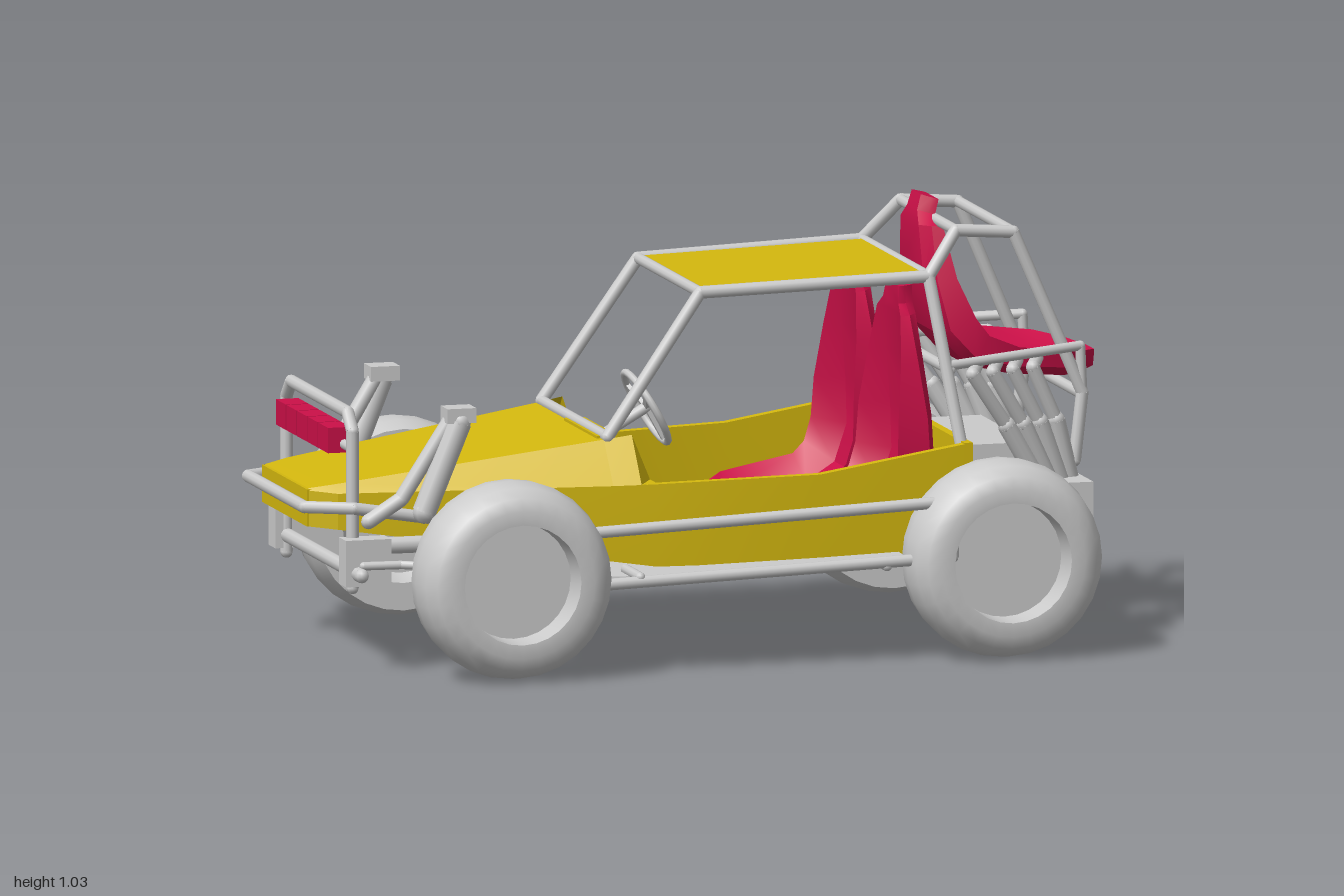
import * as THREE from 'three';
import { mergeGeometries, toCreasedNormals } from 'three/addons/utils/BufferGeometryUtils.js';

const material = (color) => new THREE.MeshStandardMaterial({ color, side: THREE.DoubleSide });

export function createModel() {
  const model = new THREE.Group();
  const grey = material(0xcccccc), yellow = material(0xd4b80e), red = material(0xcc1048);

  const add = (name, geometry, mat) => {
    const mesh = new THREE.Mesh(geometry, mat);
    mesh.name = name;
    model.add(mesh);
    return mesh;
  };
  const box = (name, x0, x1, y0, y1, z0, z1, mat) => {
    const mesh = add(name, new THREE.BoxGeometry(x1 - x0, y1 - y0, z1 - z0), mat);
    mesh.position.set((x0 + x1) / 2, (y0 + y1) / 2, (z0 + z1) / 2);
    return mesh;
  };
  // Straight pipes between points, with a ball at each joint
  const pipe = (name, points, r, mat = grey) => {
    const parts = [];
    const pts = points.map((p) => new THREE.Vector3(...p));
    pts.forEach((p, i) => {
      parts.push(new THREE.SphereGeometry(r, 10, 6).translate(p.x, p.y, p.z));
      if (i === 0) return;
      const dir = p.clone().sub(pts[i - 1]);
      const mid = p.clone().add(pts[i - 1]).multiplyScalar(0.5);
      const q = new THREE.Quaternion().setFromUnitVectors(new THREE.Vector3(0, 1, 0), dir.clone().normalize());
      parts.push(new THREE.CylinderGeometry(r, r, dir.length(), 10).applyQuaternion(q).translate(mid.x, mid.y, mid.z));
    });
    return add(name, mergeGeometries(parts), mat);
  };
  // Skin through equal-length cross-sections
  const loft = (sections, closed = false, crease = 0.3) => {
    const n = sections[0].length, pos = [];
    const tri = (...ps) => ps.forEach((p) => pos.push(...p));
    for (let i = 0; i + 1 < sections.length; i++) {
      const a = sections[i], b = sections[i + 1];
      for (let j = 0; j < (closed ? n : n - 1); j++) {
        const k = (j + 1) % n;
        tri(a[j], b[j], b[k]);
        tri(a[j], b[k], a[k]);
      }
    }
    if (closed) {
      const first = sections[0], last = sections[sections.length - 1];
      for (let j = 1; j + 1 < n; j++) {
        tri(first[0], first[j], first[j + 1]);
        tri(last[0], last[j + 1], last[j]);
      }
    }
    const g = new THREE.BufferGeometry();
    g.setAttribute('position', new THREE.Float32BufferAttribute(pos, 3));
    g.computeVertexNormals();
    return toCreasedNormals(g, crease);
  };

  // Wheels: tyre with a recessed rim
  const tyre = [[0, 0.03], [0.13, 0.03], [0.15, 0], [0.215, 0], [0.231, 0.04], [0.235, 0.09], [0.226, 0.145],
    [0.205, 0.172], [0.175, 0.185], [0.142, 0.183], [0.138, 0.105], [0, 0.105]];
  const wheelGeo = toCreasedNormals(new THREE.LatheGeometry(tyre.map((p) => new THREE.Vector2(...p)), 28), 0.6);
  for (const x of [-0.556, 0.637]) for (const s of [1, -1]) {
    const wheel = add(x < 0 ? 'frontWheel' : 'rearWheel', wheelGeo, grey);
    wheel.rotation.x = s * Math.PI / 2;
    wheel.position.set(x, 0.24, s * 0.415);
  }

  // Floor plate, rising slightly to the rear
  const half = [[-0.44, 0.4], [-0.16, 0.505], [0.41, 0.505], [0.41, 0.41], [0.6, 0.41]];
  const outline = [...half, ...half.map(([x, z]) => [x, -z]).reverse()].map((p) => new THREE.Vector2(...p));
  const floor = add('floorPlate', new THREE.ExtrudeGeometry(new THREE.Shape(outline), { depth: 0.015, bevelEnabled: false })
    .rotateX(-Math.PI / 2), grey);
  floor.position.y = 0.222;
  floor.rotation.z = 0.03;

  // Tub side walls: x, z, top y, bottom y
  const wall = [[-0.96, 0.19, 0.42, 0.335], [-0.9, 0.225, 0.415, 0.33], [-0.17, 0.385, 0.43, 0.235],
    [0.22, 0.412, 0.44, 0.235], [0.59, 0.415, 0.5, 0.245]];
  for (const s of [1, -1]) {
    add('sideWall', loft(wall.map(([x, z, t, b]) =>
      [[x, b, s * z], [x, t, s * z], [x, t, s * (z - 0.025)], [x, b, s * (z - 0.025)]]), true), yellow);
    // Cowl flank beside the cockpit opening
    add('cowlFlank', loft([
      [[-0.27, 0.427, s * 0.365], [-0.27, 0.525, s * 0.285]],
      [[-0.205, 0.429, s * 0.379], [-0.205, 0.535, s * 0.295]],
      [[-0.165, 0.43, s * 0.385], [-0.165, 0.43, s * 0.31]]]), yellow);
  }
  // Hood: x, edge z, edge y, crown z, crown y
  add('hood', loft([[-0.96, 0.19, 0.42, 0.185, 0.425], [-0.9, 0.225, 0.415, 0.205, 0.435], [-0.27, 0.365, 0.427, 0.285, 0.525]]
    .map(([x, ze, ye, zc, yc]) => [[x, ye, -ze], [x, yc, -zc], [x, yc, zc], [x, ye, ze]])), yellow);
  box('nosePanel', -0.965, -0.95, 0.335, 0.423, -0.19, 0.19, yellow);
  add('bulkhead', loft([[[-0.28, 0.235, -0.34], [-0.28, 0.235, 0.34]], [[-0.28, 0.427, -0.36], [-0.28, 0.427, 0.36]],
    [[-0.28, 0.523, -0.284], [-0.28, 0.523, 0.284]]]), yellow);
  box('dashboard', -0.28, -0.23, 0.3, 0.53, -0.02, 0.26, yellow);
  box('rearPanel', 0.57, 0.59, 0.245, 0.5, -0.415, 0.415, yellow);

  // Steering wheel, tilted to face the driver
  const steering = new THREE.Group();
  steering.name = 'steeringWheel';
  const ring = new THREE.Mesh(new THREE.TorusGeometry(0.095, 0.009, 8, 24), grey);
  ring.name = 'steeringRim';
  steering.add(ring);
  for (let i = 0; i < 3; i++) {
    const spoke = new THREE.Mesh(new THREE.BoxGeometry(0.014, 0.095, 0.01).translate(0, 0.047, 0), grey);
    spoke.name = 'steeringSpoke';
    spoke.rotation.z = i * Math.PI * 2 / 3 + Math.PI;
    steering.add(spoke);
  }
  steering.position.set(-0.12, 0.57, 0.12);
  steering.lookAt(0.06, 0.67, 0.12);
  model.add(steering);
  pipe('steeringColumn', [[-0.12, 0.57, 0.12], [-0.26, 0.49, 0.12]], 0.013);

  // Bucket seats: forward offset, height, half width, bolster depth along the centre line
  const seat = (name, x0, dir, z0, t, profile) => {
    const sections = profile.map(([u, y, w, d], i) => {
      const a = profile[Math.max(i - 1, 0)], b = profile[Math.min(i + 1, profile.length - 1)];
      const len = Math.hypot(b[0] - a[0], b[1] - a[1]);
      const nu = -(b[1] - a[1]) / len, ny = (b[0] - a[0]) / len;
      return [[-w, d], [-w * 0.65, 0], [w * 0.65, 0], [w, d], [w * 0.95, -t * 0.4], [w * 0.7, -t], [-w * 0.7, -t], [-w * 0.95, -t * 0.4]]
        .map(([z, h]) => [x0 + dir * (u + nu * h), y + ny * h, z0 + z]);
    });
    add(name, loft(sections, true, 0.6), red);
  };
  for (const s of [1, -1]) seat('frontSeat', 0.46, -1, s * 0.19, 0.035, [
    [0, 0.85, 0.055, 0], [0, 0.81, 0.065, 0.005], [0, 0.785, 0.1, 0.01], [-0.01, 0.68, 0.14, 0.03], [-0.025, 0.55, 0.17, 0.06],
    [-0.03, 0.44, 0.18, 0.07], [0, 0.35, 0.18, 0.07], [0.07, 0.305, 0.18, 0.06], [0.26, 0.29, 0.17, 0.04], [0.36, 0.29, 0.09, 0.005]]);
  seat('rearSeat', 0.61, 1, 0, 0.04, [
    [0, 1.02, 0.055, 0], [-0.01, 0.985, 0.06, 0], [-0.015, 0.965, 0.11, 0.01], [-0.01, 0.84, 0.145, 0.03], [0.015, 0.73, 0.165, 0.05],
    [0.07, 0.67, 0.17, 0.045], [0.16, 0.65, 0.17, 0.03], [0.29, 0.64, 0.165, 0.025], [0.35, 0.645, 0.1, 0.01], [0.385, 0.645, 0.03, 0]]);

  // Roll cage
  box('roofPanel', -0.02, 0.51, 0.862, 0.876, -0.25, 0.25, yellow).rotation.z = 0.03;
  for (const s of [1, -1]) {
    pipe('cageSide', [[-0.26, 0.53, s * 0.28], [-0.03, 0.86, s * 0.265], [0.52, 0.877, s * 0.285], [0.575, 0.48, s * 0.375]], 0.015);
    pipe('rearCageSide', [[0.52, 0.877, s * 0.285], [0.6, 0.975, s * 0.235], [0.74, 0.965, s * 0.235],
      [0.905, 0.58, s * 0.245], [0.885, 0.42, s * 0.25]], 0.015);
    pipe('rearCageBrace', [[0.555, 0.67, s * 0.33], [0.9, 0.69, s * 0.245], [0.905, 0.58, s * 0.245]], 0.012);
  }
  for (const [x, y, z] of [[-0.26, 0.53, 0.28], [-0.03, 0.86, 0.265], [0.52, 0.877, 0.285], [0.6, 0.975, 0.235], [0.74, 0.965, 0.235],
    [0.905, 0.575, 0.245], [0.56, 0.66, 0.33]])
    pipe('cageCrossBar', [[x, y, -z], [x, y, z]], 0.013);

  // Engine, silencers and exhaust stacks
  box('engineBlock', 0.59, 0.79, 0.27, 0.46, -0.215, 0.205, grey);
  for (const s of [1, -1]) {
    box('silencer', 0.75, 0.9, 0.24, 0.385, s * 0.27 - 0.088, s * 0.27 + 0.088, grey);
    for (let i = 0; i < 4; i++) {
      const top = [0.61 + i * 0.055, 0.65, s * (0.345 - i * 0.022)];
      pipe('exhaustStack', [top, [0.7 + i * 0.045, 0.52, s * (0.32 - i * 0.018)]], 0.017);
      pipe('exhaustPipe', [[0.7 + i * 0.045, 0.52, s * (0.32 - i * 0.018)], [0.79 + i * 0.028, 0.37, s * (0.3 - i * 0.016)]], 0.022);
      pipe('exhaustTip', [top, [top[0] + 0.03, 0.66, top[2] - s * 0.07]], 0.016);
    }
  }

  for (const s of [1, -1]) {
    // Side rail loop
    pipe('sideRail', [[-0.36, 0.345, s * 0.525], [0.47, 0.38, s * 0.525], [0.51, 0.34, s * 0.525], [0.51, 0.25, s * 0.525],
      [-0.36, 0.22, s * 0.525], [-0.36, 0.345, s * 0.525]], 0.014);
    for (const x of [-0.25, 0.35]) pipe('railMount', [[x, 0.235, s * 0.4], [x, 0.235, s * 0.525]], 0.012);
    // Front shock absorbers and suspension
    pipe('shockTower', [[-0.85, 0.36, s * 0.31], [-0.77, 0.41, s * 0.31], [-0.65, 0.6, s * 0.32]], 0.018);
    pipe('shockSpring', [[-0.72, 0.38, s * 0.33], [-0.635, 0.59, s * 0.335]], 0.028);
    box('shockMount', -0.67, -0.6, 0.59, 0.625, s * 0.325 - 0.03, s * 0.325 + 0.03, grey);
    pipe('suspensionArm', [[-0.88, 0.3, s * 0.3], [-0.6, 0.3, s * 0.3], [-0.56, 0.25, s * 0.43]], 0.02);
    pipe('steeringArm', [[-0.87, 0.26, s * 0.34], [-0.78, 0.26, s * 0.345], [-0.71, 0.26, s * 0.39], [-0.67, 0.25, s * 0.43]], 0.01);
    box('axleBracket', -0.91, -0.8, 0.21, 0.32, s * 0.3 - 0.03, s * 0.3 + 0.03, grey);
    pipe('rearHalfShaft', [[0.637, 0.3, s * 0.2], [0.637, 0.24, s * 0.43]], 0.02);
  }
  pipe('frontAxle', [[-0.88, 0.24, -0.36], [-0.88, 0.24, 0.36]], 0.017);

  // Front bumper, light bar and lamps
  pipe('bumper', [[-0.7, 0.36, -0.29], [-0.88, 0.39, -0.295], [-0.985, 0.39, -0.24], [-0.985, 0.39, 0.24],
    [-0.88, 0.39, 0.295], [-0.7, 0.36, 0.29]], 0.015);
  pipe('lightBar', [[-0.88, 0.2, -0.28], [-0.88, 0.57, -0.28], [-0.88, 0.61, -0.24], [-0.88, 0.61, 0.24],
    [-0.88, 0.57, 0.28], [-0.88, 0.2, 0.28]], 0.015);
  pipe('lampRail', [[-0.88, 0.53, -0.28], [-0.88, 0.53, 0.28]], 0.012);
  for (let i = -2; i <= 2; i++) box('lamp', -0.92, -0.865, 0.51, 0.57, i * 0.09 - 0.052, i * 0.09 + 0.032, red);

  return model;
}
